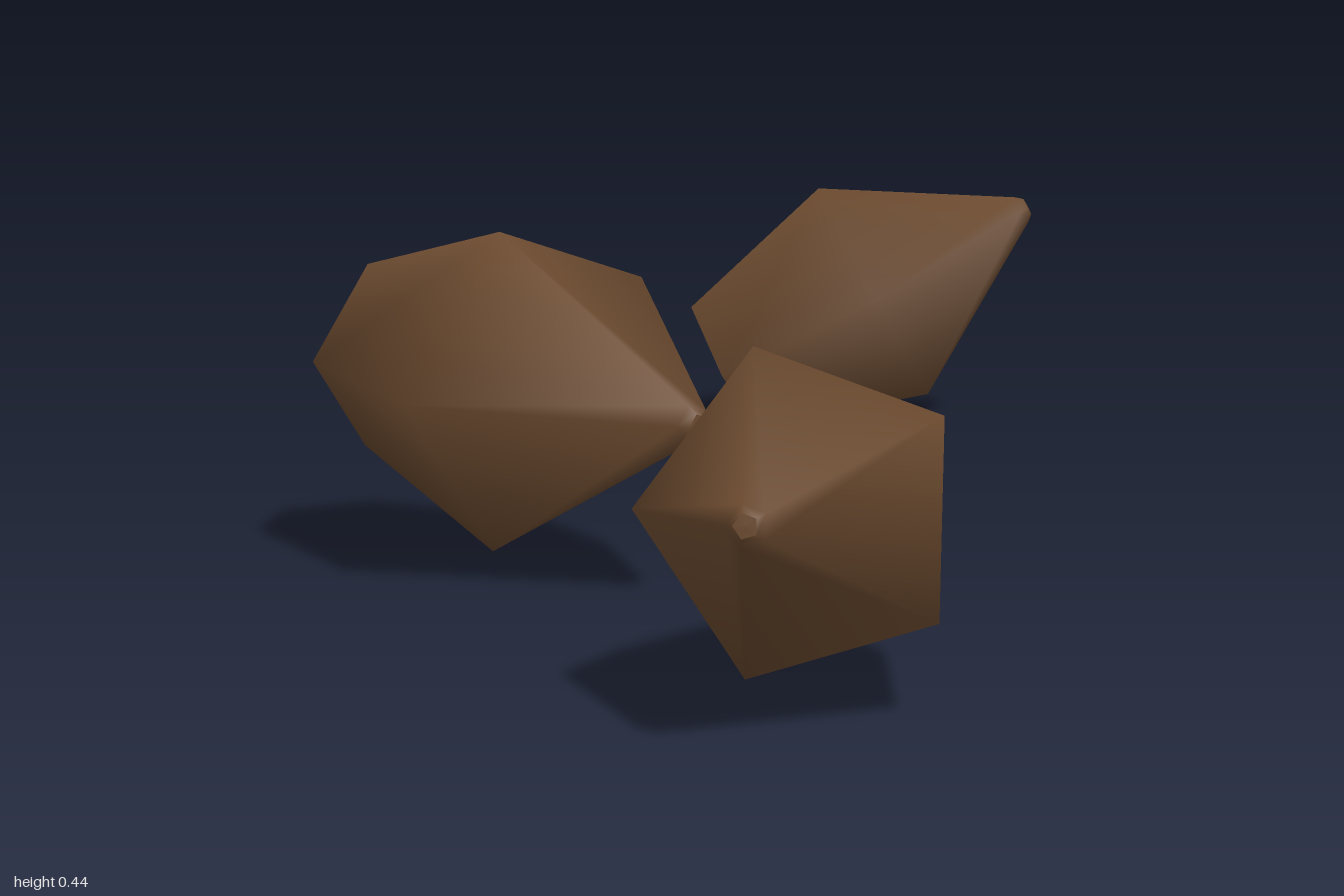
import * as THREE from 'three';

const SIDES = 5;

// Profile of one seed: [radius, height along its axis], widest at 0
const BODY = [[0.127, -0.297], [0.215, 0], [0.026, 0.293], [0.016, 0.304]];
const BASE = [[0, -0.297], [0.127, -0.297]];
const TIP = [[0.016, 0.304], [0, 0.305]];

// centre of the widest ring, direction of the tip, direction of one corner, size
const SEEDS = [
  { name: 'middleSeed', at: [-0.44, 0.245, -0.038], axis: [0.18, -0.05, 0.98], corner: [-0.98, 0, 0.18], size: 1 },
  { name: 'frontSeed', at: [-0.595, 0.224, 0.8], axis: [-0.375, 0.07, 0.36], corner: [-0.14, 0, -0.14], size: 0.885 },
  { name: 'backSeed', at: [0.594, 0.222, -0.78], axis: [0.19, 0.123, 0.135], corner: [-0.104, 0.153, 0], size: 0.885 },
];

function lathe(profile) {
  return new THREE.LatheGeometry(profile.map(([r, h]) => new THREE.Vector2(r, h)), SIDES);
}

export function createModel() {
  const brown = new THREE.MeshStandardMaterial({ color: 0x6b4a2f });
  brown.name = 'brown';

  const parts = { body: lathe(BODY), baseCap: lathe(BASE), tipCap: lathe(TIP) };
  const model = new THREE.Group();
  model.name = 'seeds';

  for (const { name, at, axis, corner, size } of SEEDS) {
    const seed = new THREE.Group();
    seed.name = name;
    for (const [part, geometry] of Object.entries(parts)) {
      const mesh = new THREE.Mesh(geometry, brown);
      mesh.name = part;
      seed.add(mesh);
    }

    // Local y runs to the tip, local z to one corner of the pentagon
    const y = new THREE.Vector3(...axis).normalize();
    const x = new THREE.Vector3().crossVectors(y, new THREE.Vector3(...corner)).normalize();
    const z = new THREE.Vector3().crossVectors(x, y);
    seed.quaternion.setFromRotationMatrix(new THREE.Matrix4().makeBasis(x, y, z));
    seed.position.set(...at);
    seed.scale.setScalar(size);
    model.add(seed);
  }
  return model;
}
